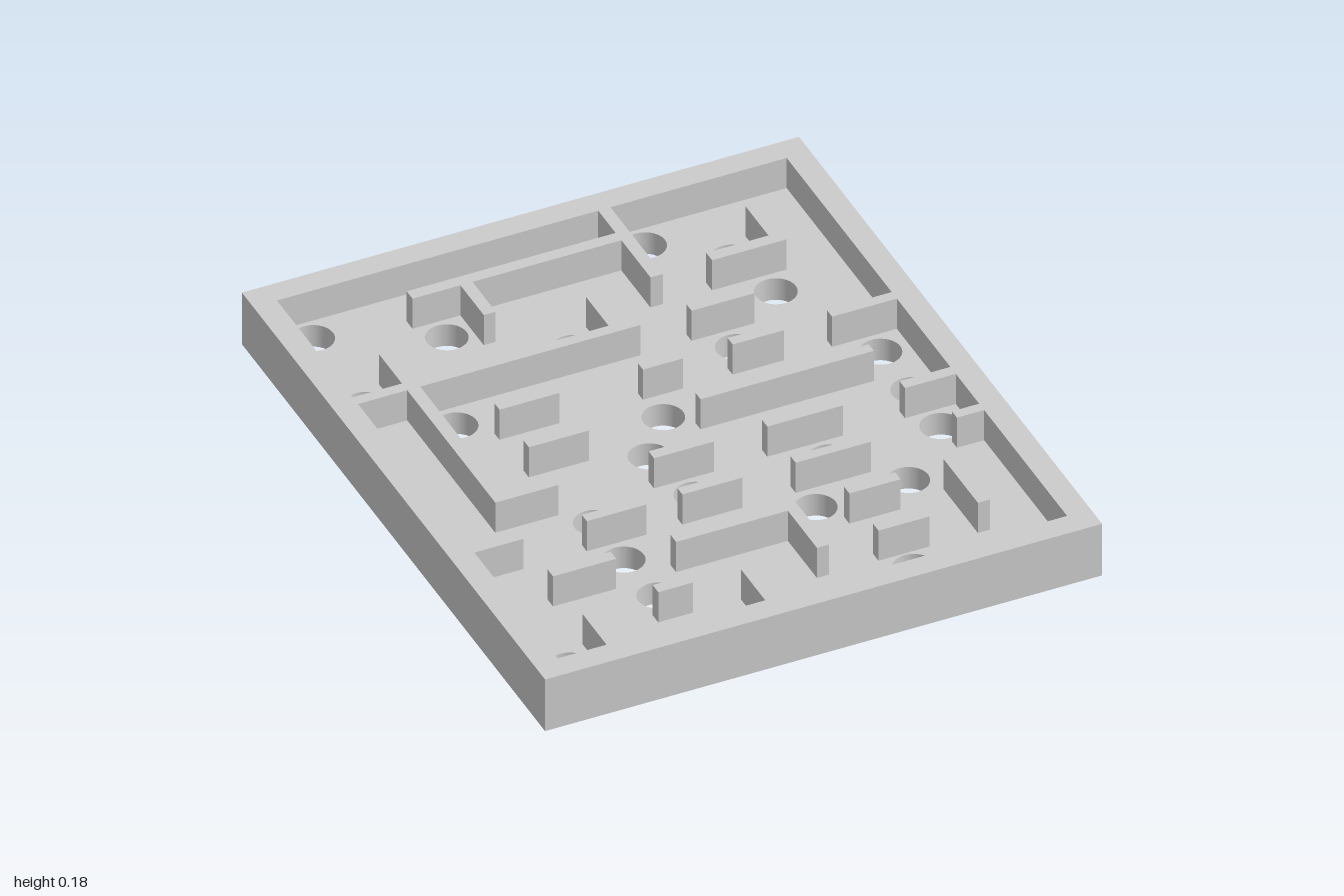
import * as THREE from 'three';

const HEIGHT = 0.18, FLOOR = 0.075, HOLE_RADIUS = 0.061;
const HALF_X = 0.86, HALF_Z = 1, IN_X = 0.787, IN_Z = 0.925;

// hole centres [x, z]
const HOLES = [
  [-0.71, -0.85], [0.315, -0.85], [-0.37, -0.695], [0.51, -0.695],
  [-0.71, -0.505], [-0.07, -0.5], [0.555, -0.5], [-0.52, -0.31],
  [0.345, -0.31], [0.02, -0.1], [0.7, -0.12], [-0.093, 0.05],
  [0.704, 0.08], [-0.363, 0.267], [-0.053, 0.267], [0.36, 0.267],
  [0.706, 0.267], [-0.363, 0.457], [0.228, 0.462], [0.516, 0.457],
  [-0.347, 0.65], [-0.71, 0.842], [0.357, 0.832],
];

// walls running along x: row limits in z, then the x spans in that row
const ROWS = [
  { z: [-0.81, -0.772], spans: [[-0.44, 0.205]] },
  { z: [-0.618, -0.58], spans: [[0.395, 0.587]] },
  { z: [-0.425, -0.39], spans: [[-IN_X, 0.085], [0.243, 0.438]] },
  { z: [-0.232, -0.198], spans: [[-0.44, -0.255], [0.003, 0.127], [0.28, 0.438], [0.587, IN_X]] },
  { z: [-0.038, -0.004], spans: [[-0.44, -0.255], [0.09, 0.625]] },
  { z: [0.155, 0.191], spans: [[-0.595, -0.44], [-0.145, 0.041], [0.205, 0.438], [0.63, IN_X]] },
  { z: [0.345, 0.378], spans: [[-IN_X, -0.635], [-0.44, -0.255], [-0.145, 0.041], [0.205, 0.438], [0.703, IN_X]] },
  { z: [0.536, 0.572], spans: [[-0.635, -0.44], [-0.255, 0.127], [0.28, 0.438]] },
  { z: [0.727, 0.764], spans: [[-0.4, -0.292], [0.28, 0.438]] },
];

// walls running along z: [x0, x1, z0, z1]
const COLUMNS = [
  [0.205, 0.243, -IN_Z, -0.58], [-0.292, -0.255, -0.772, -0.618],
  [0.587, 0.625, -0.77, -0.58], [-0.635, -0.595, -0.575, -0.425],
  [-0.635, -0.595, -0.39, 0.191], [0.003, 0.041, -0.575, -0.425],
  [0.09, 0.127, 0.572, 0.764], [0.587, 0.625, 0.536, 0.764],
  [-0.635, -0.595, 0.765, IN_Z], [-0.145, -0.109, 0.765, IN_Z],
];

const rectangle = (Kind, hx, hz) => new Kind([
  new THREE.Vector2(-hx, -hz), new THREE.Vector2(hx, -hz),
  new THREE.Vector2(hx, hz), new THREE.Vector2(-hx, hz),
]);

// extrude a plan shape (x, -z) upwards from y0 to y1
function extrudeUp(shape, y0, y1) {
  const geometry = new THREE.ExtrudeGeometry(shape, { depth: y1 - y0, bevelEnabled: false, curveSegments: 32 });
  return geometry.rotateX(-Math.PI / 2).translate(0, y0, 0);
}

export function createModel() {
  const model = new THREE.Group();
  model.name = 'marbleMaze';
  const material = new THREE.MeshStandardMaterial({ color: 0xcccccc });

  const add = (name, geometry, parent = model) => {
    const mesh = new THREE.Mesh(geometry, material);
    mesh.name = name;
    parent.add(mesh);
    return mesh;
  };

  // floor plate with round holes
  const floor = rectangle(THREE.Shape, HALF_X, HALF_Z);
  for (const [x, z] of HOLES) {
    floor.holes.push(new THREE.Path().absarc(x, -z, HOLE_RADIUS, 0, Math.PI * 2, true));
  }
  add('floor', extrudeUp(floor, 0, FLOOR));

  // raised rim around the floor
  const rim = rectangle(THREE.Shape, HALF_X, HALF_Z);
  rim.holes.push(rectangle(THREE.Path, IN_X, IN_Z));
  add('rim', extrudeUp(rim, FLOOR, HEIGHT));

  // maze walls, level with the rim
  const walls = new THREE.Group();
  walls.name = 'mazeWalls';
  model.add(walls);
  const addWall = (x0, x1, z0, z1) => {
    const wall = add('mazeWall', new THREE.BoxGeometry(x1 - x0, HEIGHT - FLOOR, z1 - z0), walls);
    wall.position.set((x0 + x1) / 2, (HEIGHT + FLOOR) / 2, (z0 + z1) / 2);
  };
  for (const { z, spans } of ROWS) {
    for (const [x0, x1] of spans) addWall(x0, x1, z[0], z[1]);
  }
  for (const column of COLUMNS) addWall(...column);

  return model;
}
